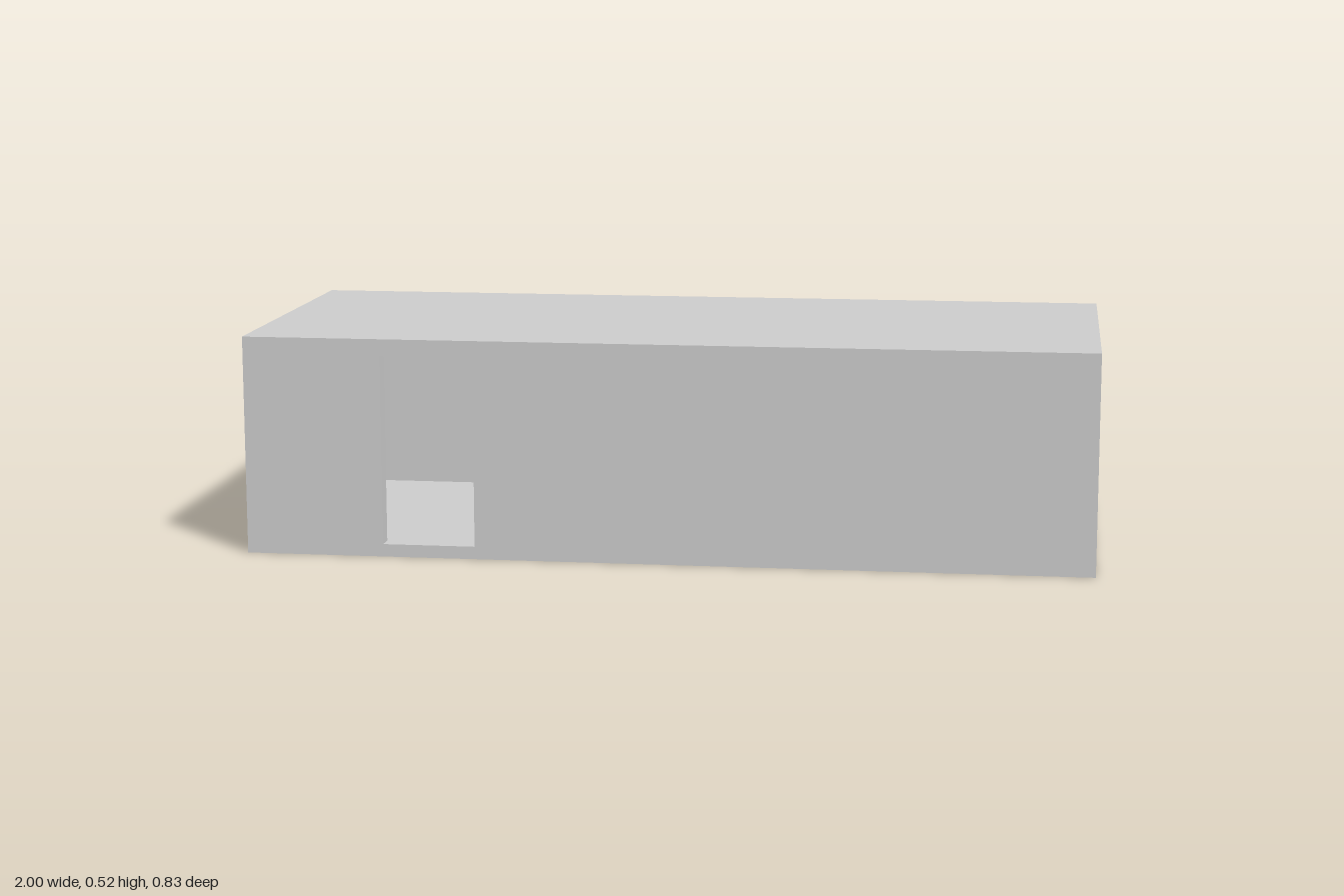
import * as THREE from 'three';

const W = 2, H = 0.52, D = 0.83;              // outer size
const FRONT = 0.04, END = 0.105, SLAB = 0.02; // wall and slab thicknesses
const DOOR = { x0: -0.67, x1: -0.45, y0: 0.03, y1: 0.48 };

const rect = (T, x0, x1, y0, y1) => new T([
  new THREE.Vector2(x0, y0), new THREE.Vector2(x1, y0),
  new THREE.Vector2(x1, y1), new THREE.Vector2(x0, y1),
]);

// Box without its front (+z) face
function openBox(w, h, d) {
  const geo = new THREE.BoxGeometry(w, h, d).translate(0, H / 2, 0);
  const index = Array.from(geo.index.array);
  index.splice(24, 6);
  geo.setIndex(index);
  geo.clearGroups();
  return geo;
}

// Flat wall face with the doorway cut out
function doorWall(w, h, z) {
  const shape = rect(THREE.Shape, -w / 2, w / 2, H / 2 - h / 2, H / 2 + h / 2);
  shape.holes.push(rect(THREE.Path, DOOR.x0, DOOR.x1, DOOR.y0, DOOR.y1));
  return new THREE.ShapeGeometry(shape).translate(0, 0, z);
}

// Turn a surface to face the other way
function invert(geo) {
  geo.setIndex(Array.from(geo.index.array).reverse());
  geo.computeVertexNormals();
  return geo;
}

export function createModel() {
  const group = new THREE.Group();
  group.name = 'building';
  const material = new THREE.MeshStandardMaterial({ color: 0xcccccc });
  const add = (name, geo) => {
    const mesh = new THREE.Mesh(geo, material);
    mesh.name = name;
    group.add(mesh);
  };

  // Outer shell
  add('outerShell', openBox(W, H, D));
  add('frontWall', doorWall(W, H, D / 2));

  // Hollow room
  const w = W - 2 * END, h = H - 2 * SLAB, d = D - 2 * FRONT;
  add('roomInterior', invert(openBox(w, h, d)));
  add('frontWallInside', invert(doorWall(w, h, d / 2)));

  // Doorway lining: jambs, sill and head through the wall thickness
  const dw = DOOR.x1 - DOOR.x0, dh = DOOR.y1 - DOOR.y0;
  const lining = new THREE.BoxGeometry(dw, dh, FRONT);
  lining.setIndex(Array.from(lining.index.array).slice(0, 24));
  lining.clearGroups();
  lining.translate((DOOR.x0 + DOOR.x1) / 2, (DOOR.y0 + DOOR.y1) / 2, (D - FRONT) / 2);
  add('doorwayLining', invert(lining));

  return group;
}
